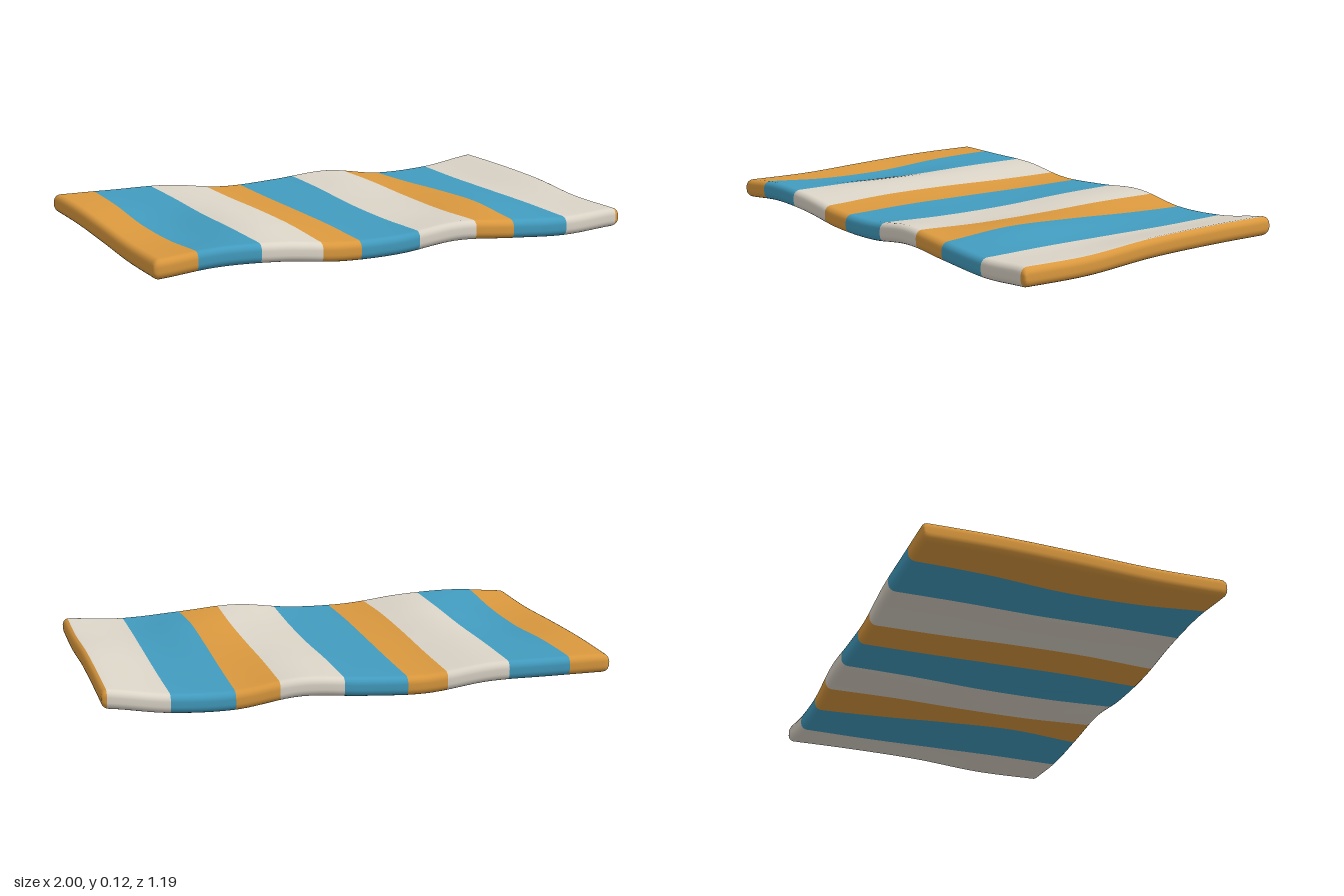
import * as THREE from 'three';

const LENGTH = 1, WIDTH = 0.597, HALF_THICK = 0.038, ROUND = 0.028;

// Height of the cloth's middle layer; rows run from back to front, columns from -x to +x
const WAVES = [
  [0.080, 0.080, 0.078, 0.050, 0.060, 0.078, 0.046, 0.055, 0.092],
  [0.080, 0.072, 0.080, 0.050, 0.055, 0.075, 0.055, 0.050, 0.092],
  [0.070, 0.050, 0.082, 0.055, 0.046, 0.060, 0.070, 0.050, 0.084],
  [0.056, 0.055, 0.082, 0.055, 0.046, 0.055, 0.078, 0.050, 0.061],
  [0.056, 0.078, 0.070, 0.045, 0.047, 0.075, 0.058, 0.046, 0.062],
];

// Stripe ends along x and their material index: 0 orange, 1 blue, 2 cream
const STRIPES = [
  [-0.83, 0], [-0.58, 1], [-0.33, 2], [-0.17, 0], [0.08, 1],
  [0.33, 2], [0.5, 0], [0.745, 1], [0.98, 2], [1, 0],
];

// Smooth curve through evenly spaced values, t from 0 to 1
function smooth(values, t) {
  const n = values.length - 1;
  const i = Math.min(Math.floor(t * n), n - 1), f = t * n - i;
  const p1 = values[i], p2 = values[i + 1];
  const p0 = i > 0 ? values[i - 1] : p1;
  const p3 = i + 2 <= n ? values[i + 2] : p2;
  const m1 = (p2 - p0) / 2, m2 = (p3 - p1) / 2;
  const f2 = f * f, f3 = f2 * f;
  return (2 * f3 - 3 * f2 + 1) * p1 + (f3 - 2 * f2 + f) * m1 + (3 * f2 - 2 * f3) * p2 + (f3 - f2) * m2;
}

function waveHeight(x, z) {
  const u = THREE.MathUtils.clamp((x + 1) / 2, 0, 1);
  const v = THREE.MathUtils.clamp(z / 1.2 + 0.5, 0, 1);
  return smooth(WAVES.map((row) => smooth(row, u)), v);
}

// How far the rounded rim pulls in at distance d from an edge
function rim(d) {
  if (d >= ROUND) return 0;
  return ROUND - Math.sqrt(Math.max(0, ROUND * ROUND - (ROUND - d) ** 2));
}

// Stations from -half to half, dense at the rounded rims, with extra cuts
function stations(half, steps, cuts) {
  const list = [...cuts];
  for (let k = 0; k <= 5; k++) {
    const d = ROUND * (1 - Math.cos((k / 5) * Math.PI / 2));
    list.push(-half + d, half - d);
  }
  const inner = half - ROUND;
  for (let k = 1; k < steps; k++) list.push(-inner + (2 * inner * k) / steps);
  list.sort((a, b) => a - b);
  return list.filter((v, i) => i === 0 || v - list[i - 1] > 1e-5);
}

function towelGeometry() {
  const xs = stations(LENGTH, 64, STRIPES.map((s) => s[0]));
  const zs = stations(WIDTH, 36, []);
  const n = zs.length, ring = 2 * n;
  const positions = [], index = [];
  const geometry = new THREE.BufferGeometry();

  // Closed cross-sections: over the top from back to front, then back underneath
  for (const x of xs) {
    const endRim = rim(LENGTH - Math.abs(x));
    const narrow = 1 - (0.4 * endRim) / WIDTH;
    const point = (z0, side) => {
      const z = z0 * narrow;
      const sideRim = rim(WIDTH - Math.abs(z0));
      const half = Math.max(HALF_THICK - Math.hypot(endRim, sideRim), 0.008);
      positions.push(x, waveHeight(x, z) + side * half, z);
    };
    for (let j = 0; j < n; j++) point(zs[j], 1);
    for (let j = n - 1; j >= 0; j--) point(zs[j], -1);
  }

  // Short faces closing the two ends
  const cap = (i, flip) => {
    const start = index.length, o = i * ring;
    for (let j = 0; j < n - 1; j++) {
      const t0 = o + j, t1 = t0 + 1, b0 = o + ring - 1 - j, b1 = b0 - 1;
      if (flip) index.push(b0, t1, t0, b0, b1, t1);
      else index.push(b0, t0, t1, b0, t1, b1);
    }
    geometry.addGroup(start, index.length - start, 0);
  };

  cap(0, true);
  let i = 0;
  for (const [end, material] of STRIPES) {
    const start = index.length;
    for (; i < xs.length - 1 && xs[i + 1] <= end + 1e-4; i++) {
      for (let j = 0; j < ring; j++) {
        const k = (j + 1) % ring;
        const a = i * ring + j, b = i * ring + k, c = b + ring, d = a + ring;
        index.push(a, b, c, a, c, d);
      }
    }
    geometry.addGroup(start, index.length - start, material);
  }
  cap(xs.length - 1, false);

  geometry.setAttribute('position', new THREE.Float32BufferAttribute(positions, 3));
  geometry.setIndex(index);
  geometry.computeVertexNormals();
  return geometry;
}

export function createModel() {
  const material = (name, color) => {
    const m = new THREE.MeshStandardMaterial({ color });
    m.name = name;
    return m;
  };
  const materials = [
    material('orange', 0xdb993e),
    material('blue', 0x429cbf),
    material('cream', 0xdcd5c8),
  ];

  const model = new THREE.Group();
  model.name = 'beachTowel';
  const towel = new THREE.Mesh(towelGeometry(), materials);
  towel.name = 'stripedCloth';
  model.add(towel);

  // Rest the lowest point on the ground
  towel.geometry.computeBoundingBox();
  towel.position.y = -towel.geometry.boundingBox.min.y;
  return model;
}
